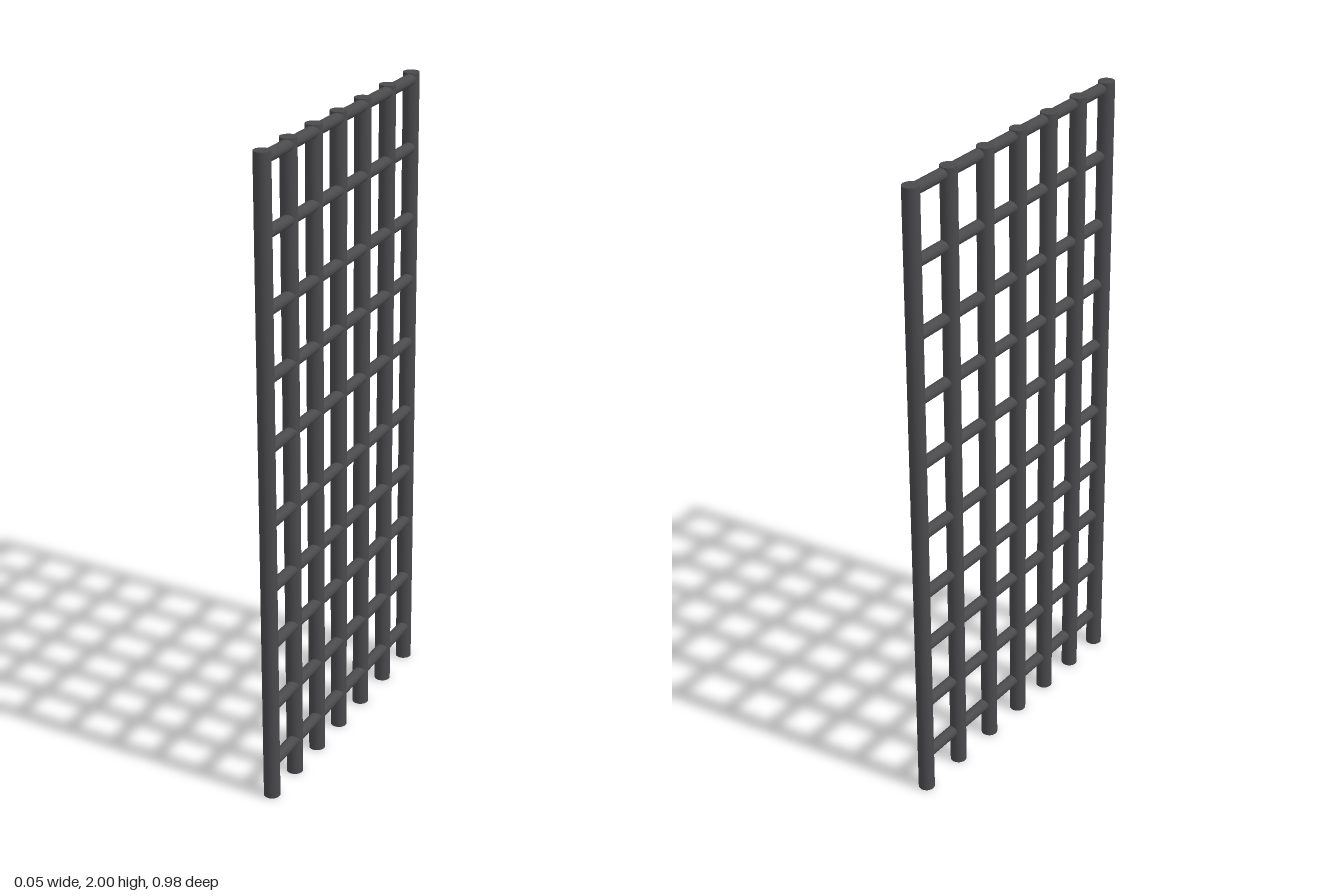
import * as THREE from 'three';

export function createModel() {
  const group = new THREE.Group();
  group.name = 'barredGrille';
  const iron = new THREE.MeshStandardMaterial({ color: 0x4a4a4d });
  iron.name = 'darkIron';

  // Upright bars, slightly uneven spacing
  const barGeometry = new THREE.CylinderGeometry(0.025, 0.025, 2, 32);
  [0.467, 0.319, 0.17, 0.019, -0.137, -0.302, -0.467].forEach((z, i) => {
    const bar = new THREE.Mesh(barGeometry, iron);
    bar.name = `uprightBar${i + 1}`;
    bar.position.set(0, 1, z);
    group.add(bar);
  });

  // Thinner cross rods, set slightly towards +x
  const rodGeometry = new THREE.CylinderGeometry(0.018, 0.018, 0.915, 32);
  rodGeometry.rotateX(Math.PI / 2);
  [0.117, 0.308, 0.514, 0.7, 0.907, 1.14, 1.35, 1.55, 1.77, 1.98].forEach((y, i) => {
    const rod = new THREE.Mesh(rodGeometry, iron);
    rod.name = `crossRod${i + 1}`;
    rod.position.set(0.005, y, 0.007);
    group.add(rod);
  });

  return group;
}
